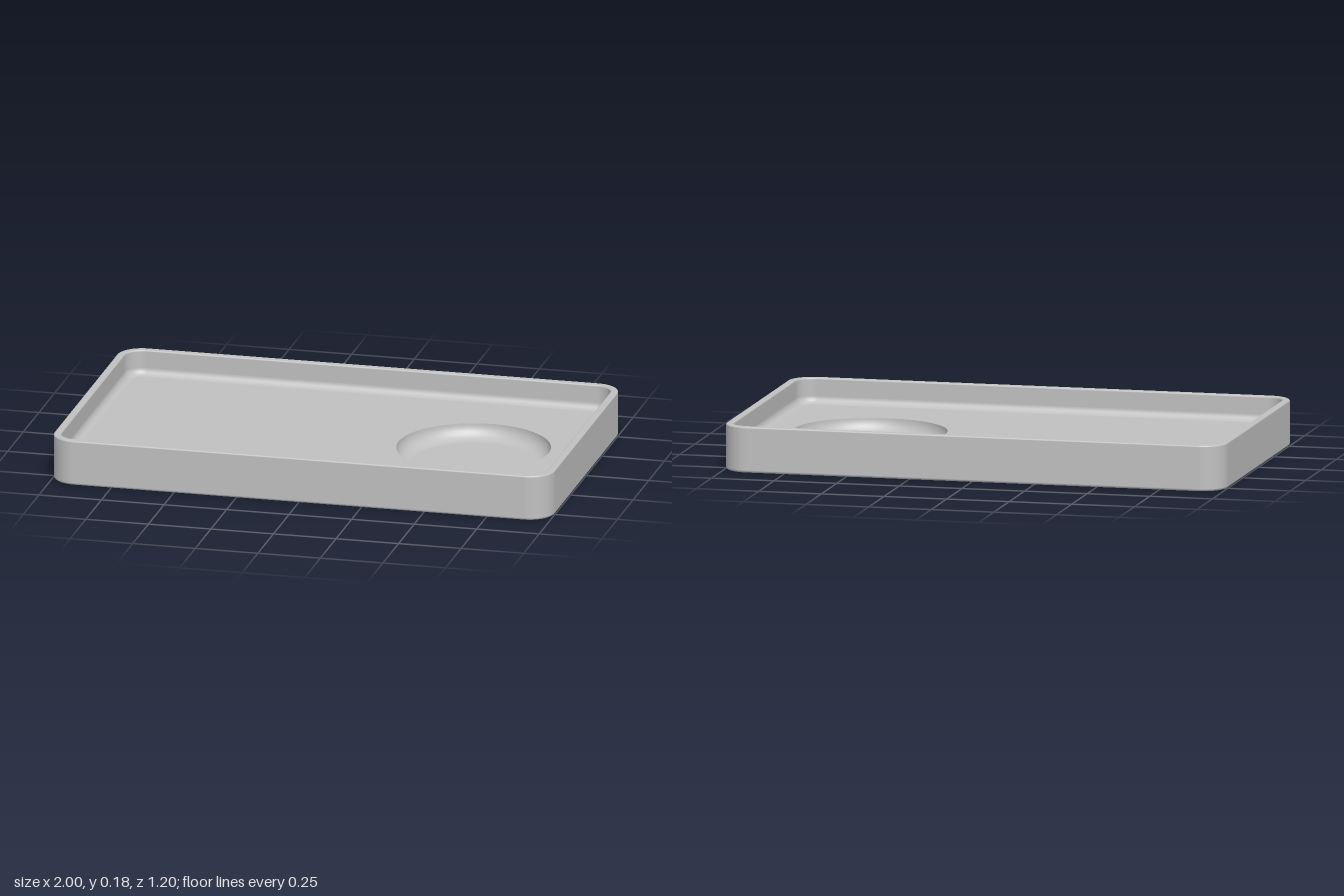
import * as THREE from 'three';

const HALF_X = 1, HALF_Z = 0.6, HEIGHT = 0.18, CORNER = 0.1;
const WALL = 0.03, FLOOR = 0.08, FILLET = 0.03;
const DISH_X = 0.55, DISH_R = 0.3, DISH_FILLET = 0.06;
const DISH_SEGMENTS = 96, CORNER_SEGMENTS = 14;

// Rounded-rectangle outline, as points with their outward directions
function outline(offset) {
  const points = [];
  const signs = [[1, 1], [-1, 1], [-1, -1], [1, -1]];
  signs.forEach(([sx, sz], corner) => {
    for (let k = 0; k <= CORNER_SEGMENTS; k++) {
      const t = (corner + k / CORNER_SEGMENTS) * Math.PI / 2;
      const nx = Math.cos(t), nz = Math.sin(t), r = CORNER + offset;
      points.push({ x: sx * (HALF_X - CORNER) + r * nx, z: sz * (HALF_Z - CORNER) + r * nz, nx, nz });
    }
  });
  return points;
}

// Arc of the wall section; sign -1 makes it concave
function arc(o, y, r, from, to, sign = 1, steps = 8) {
  return Array.from({ length: steps + 1 }, (_, i) => {
    const a = THREE.MathUtils.degToRad(from + (to - from) * i / steps);
    const c = Math.cos(a), s = Math.sin(a);
    return { o: o + r * c, y: y + r * s, no: sign * c, ny: sign * s };
  });
}

// Sweep a wall section around the outline
function sweep(section) {
  const position = [], normal = [], index = [];
  const count = outline(0).length;
  section.forEach((p, i) => {
    outline(p.o).forEach((q, j) => {
      position.push(q.x, p.y, q.z);
      normal.push(q.nx * p.no, p.ny, q.nz * p.no);
      if (i === section.length - 1) return;
      const a = i * count + j, b = i * count + (j + 1) % count;
      index.push(a, a + count, b, b, a + count, b + count);
    });
  });
  const geometry = new THREE.BufferGeometry();
  geometry.setAttribute('position', new THREE.Float32BufferAttribute(position, 3));
  geometry.setAttribute('normal', new THREE.Float32BufferAttribute(normal, 3));
  geometry.setIndex(index);
  return geometry;
}

function outlineShape(offset) {
  return new THREE.Shape(outline(offset).map((p) => new THREE.Vector2(p.x, p.z)));
}

export function createModel() {
  const model = new THREE.Group();
  model.name = 'tray';
  const grey = new THREE.MeshStandardMaterial({ color: 0xc0c0c0 });
  grey.name = 'grey';

  const add = (name, geometry, x = 0, y = 0) => {
    const mesh = new THREE.Mesh(geometry, grey);
    mesh.name = name;
    mesh.position.set(x, y, 0);
    model.add(mesh);
  };

  // Rim wall: softened bottom edge, rounded lip, filleted inner foot
  const edge = 0.01, lip = 0.006;
  add('rimWall', sweep([
    ...arc(-edge, edge, edge, -90, 0),
    ...arc(-lip, HEIGHT - lip, lip, 0, 90),
    ...arc(lip - WALL, HEIGHT - lip, lip, 90, 180),
    ...arc(-WALL - FILLET, FLOOR + FILLET, FILLET, 0, -90, -1),
  ]));

  // Underside
  add('underside', new THREE.ShapeGeometry(outlineShape(-edge)).rotateX(Math.PI / 2));

  // Floor with a round opening for the dish
  const floor = outlineShape(-WALL - FILLET);
  const opening = [];
  for (let i = 0; i < DISH_SEGMENTS; i++) {
    const a = i / DISH_SEGMENTS * Math.PI * 2;
    opening.push(new THREE.Vector2(DISH_X + DISH_R * Math.cos(a), DISH_R * Math.sin(a)));
  }
  floor.holes.push(new THREE.Path(opening));
  add('floor', new THREE.ShapeGeometry(floor).rotateX(-Math.PI / 2), 0, FLOOR);

  // Recessed dish: curved side and flat base
  const side = arc(DISH_R - DISH_FILLET, 0, DISH_FILLET, 0, -90, -1, 12)
    .map((p) => new THREE.Vector2(p.o, p.y));
  add('dishSide', new THREE.LatheGeometry(side, DISH_SEGMENTS), DISH_X, FLOOR);
  add('dishBase', new THREE.CircleGeometry(DISH_R - DISH_FILLET, DISH_SEGMENTS).rotateX(-Math.PI / 2),
    DISH_X, FLOOR - DISH_FILLET);

  return model;
}
